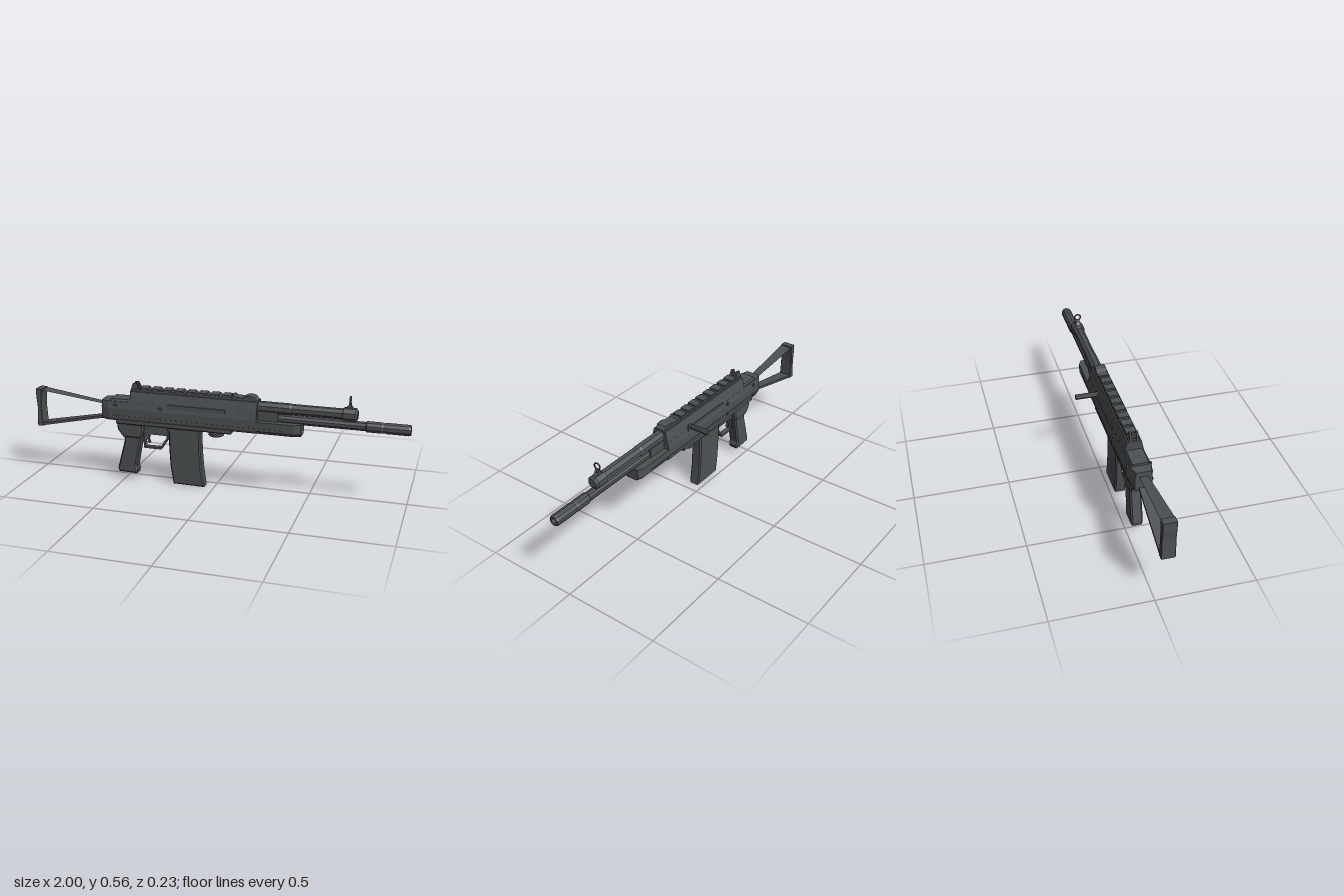
import * as THREE from 'three';

const gunmetal = new THREE.MeshStandardMaterial({ color: 0x4c5153, flatShading: true, side: THREE.DoubleSide });
gunmetal.name = 'gunmetal';

export function createModel() {
  const model = new THREE.Group();
  model.name = 'rifle';
  const body = new THREE.Group();
  body.name = 'body';
  body.position.z = 0.053;
  model.add(body);

  const add = (name, geo, x = 0, y = 0, z = 0) => {
    const m = new THREE.Mesh(geo, gunmetal);
    m.name = name;
    m.position.set(x, y, z);
    body.add(m);
    return m;
  };
  const box = (name, x0, x1, y0, y1, half, z = 0) =>
    add(name, new THREE.BoxGeometry(x1 - x0, y1 - y0, half * 2), (x0 + x1) / 2, (y0 + y1) / 2, z);

  // Symmetric cross-section [halfWidth, y], bottom to top, run along x; taper scales the width at each end
  const prism = (name, half, x0, x1, taper0 = 1, taper1 = 1) => {
    const pts = [...half, ...half.map(([w, y]) => [-w, y]).reverse()].map(p => new THREE.Vector2(...p));
    const g = new THREE.ExtrudeGeometry(new THREE.Shape(pts), { depth: x1 - x0, bevelEnabled: false });
    g.rotateY(Math.PI / 2);
    const p = g.attributes.position;
    for (let i = 0; i < p.count; i++) p.setZ(i, p.getZ(i) * (p.getX(i) < 1e-4 ? taper0 : taper1));
    return add(name, g, x0);
  };

  // Side outline [x, y] extruded across the width with bevelled edges
  const side = (name, pts, half, bevel = 0, holes = []) => {
    const s = new THREE.Shape(pts.map(p => new THREE.Vector2(...p)));
    for (const h of holes) s.holes.push(new THREE.Path(h.map(p => new THREE.Vector2(...p))));
    const g = new THREE.ExtrudeGeometry(s, {
      depth: 2 * (half - bevel), bevelEnabled: bevel > 0, bevelSize: bevel, bevelThickness: bevel,
      bevelOffset: -bevel, bevelSegments: 1,
    });
    g.translate(0, 0, -half + bevel);
    return add(name, g);
  };

  // Turned part along x from [radius, x] points
  const turned = (name, pts, y, sides) => {
    const g = new THREE.LatheGeometry(pts.map(p => new THREE.Vector2(...p)), sides, Math.PI / sides);
    return add(name, g.rotateZ(-Math.PI / 2), 0, y);
  };

  // Unit box or sheet stretched between two side points with its own half width at each end
  const strut = (name, g, a, b, w0, w1, t) => {
    const p = g.attributes.position;
    for (let i = 0; i < p.count; i++) {
      const k = p.getX(i) + 0.5;
      p.setXYZ(i, a[0] + (b[0] - a[0]) * k, a[1] + (b[1] - a[1]) * k + p.getY(i) * t,
        p.getZ(i) * 2 * (w0 + (w1 - w0) * k));
    }
    g.computeVertexNormals();
    return add(name, g);
  };

  // Receiver, its top cover and lower frame
  const receiver = [[0.05, 0.337], [0.057, 0.35], [0.057, 0.405], [0.05, 0.44]];
  prism('receiverRear', receiver, -0.612, -0.57, 0.75, 1);
  prism('receiver', receiver, -0.57, 0.235);
  prism('rearCover', [[0.046, 0.438], [0.04, 0.452]], -0.56, -0.45);
  prism('topCover', [[0.05, 0.438], [0.036, 0.498]], -0.45, 0.235);
  prism('lowerFrame', [[0.046, 0.317], [0.051, 0.322], [0.051, 0.34]], -0.53, 0.1);
  for (const s of [-1, 1]) {
    box('sidePlate', -0.24, 0.07, 0.425, 0.447, 0.003, s * 0.053);
    box('sideRib', -0.58, 0.37, 0.357, 0.365, 0.003, s * 0.056);
    for (const x of [-0.53, -0.28]) for (const y of [0.36, 0.42]) {
      const pin = add('pin', new THREE.CylinderGeometry(0.009, 0.009, 0.012, 8), x, y, s * 0.056);
      pin.rotation.x = Math.PI / 2;
    }
  }

  // Handguard tray under the barrel
  const tray = [[0.042, 0.335], [0.057, 0.352], [0.057, 0.4]];
  prism('handguard', tray, 0.235, 0.43);
  prism('handguardTip', tray, 0.43, 0.462, 1, 0.72);
  box('handguardCore', 0.235, 0.34, 0.39, 0.45, 0.026);

  // Barrel with hollow muzzle, and gas tube above
  turned('barrel', [[0.024, 0.2], [0.024, 0.78], [0.029, 0.785], [0.029, 0.86], [0.026, 0.865],
    [0.026, 0.875], [0.029, 0.88], [0.029, 0.99], [0.025, 1], [0.016, 1], [0.014, 0.95], [0, 0.95]], 0.412, 10);
  turned('gasTube', [[0.03, 0.2], [0.03, 0.4], [0.028, 0.405], [0.028, 0.66], [0.035, 0.67],
    [0.035, 0.728], [0.024, 0.738], [0, 0.738]], 0.466, 8);

  // Top rail with teeth
  box('rail', -0.44, 0.21, 0.495, 0.509, 0.029);
  for (let i = 0; i < 8; i++) box('railTooth', -0.4 + i * 0.064, -0.356 + i * 0.064, 0.505, 0.518, 0.027);

  // Sights
  side('railStop', [[0.1, 0.5], [0.23, 0.5], [0.217, 0.518], [0.2, 0.523], [0.175, 0.521], [0.155, 0.512],
    [0.12, 0.512], [0.11, 0.52], [0.1, 0.52]], 0.028);
  for (const s of [-1, 1]) {
    side('rearSightEar', [[-0.455, 0.495], [-0.395, 0.495], [-0.41, 0.52], [-0.42, 0.541], [-0.44, 0.538]], 0.005)
      .position.z = s * 0.017;
  }
  box('rearSightBlade', -0.435, -0.42, 0.505, 0.528, 0.014);
  side('frontSightPost', [[0.67, 0.492], [0.722, 0.492], [0.705, 0.51], [0.701, 0.528], [0.693, 0.528], [0.688, 0.51]], 0.011);
  const ring = add('frontSightRing', new THREE.TorusGeometry(0.017, 0.004, 6, 16), 0.697, 0.541);
  ring.rotation.y = Math.PI / 2;

  // Charging handle on the far side
  box('chargingHandleStem', 0.038, 0.062, 0.443, 0.456, 0.02, -0.05);
  const handle = add('chargingHandle', new THREE.CylinderGeometry(0.014, 0.014, 0.108, 8), 0.05, 0.449, -0.114);
  handle.rotation.x = Math.PI / 2;

  // Magazine, slightly curved
  side('magazine', [[-0.245, 0.33], [-0.243, 0.2], [-0.237, 0.1], [-0.222, 0.002], [-0.051, 0],
    [-0.065, 0.1], [-0.072, 0.2], [-0.073, 0.33]], 0.03, 0.007);
  box('magazineWell', -0.25, -0.068, 0.3, 0.325, 0.036);

  // Pistol grip
  side('gripMount', [[-0.535, 0.325], [-0.53, 0.28], [-0.5, 0.24], [-0.4, 0.24], [-0.385, 0.28], [-0.385, 0.325]], 0.037, 0.008);
  side('grip', [[-0.5, 0.27], [-0.495, 0.22], [-0.538, 0.058], [-0.533, 0.038], [-0.43, 0.035],
    [-0.425, 0.06], [-0.432, 0.075], [-0.395, 0.27]], 0.03, 0.008);

  // Trigger and its guard
  side('triggerGuard', [[-0.4, 0.325], [-0.388, 0.183], [-0.293, 0.183], [-0.253, 0.243], [-0.253, 0.325]], 0.014, 0,
    [[[-0.388, 0.262], [-0.379, 0.193], [-0.298, 0.193], [-0.262, 0.246], [-0.262, 0.262]]]);
  side('trigger', [[-0.378, 0.27], [-0.355, 0.27], [-0.362, 0.235], [-0.355, 0.212], [-0.364, 0.21], [-0.374, 0.235]], 0.007);

  // Ring under the front of the frame
  const collar = [[0.024, 0.022], [0.024, 0], [0.036, 0], [0.042, 0.005], [0.042, 0.018], [0.036, 0.022], [0.024, 0.022]];
  add('underRing', new THREE.LatheGeometry(collar.map(p => new THREE.Vector2(...p)), 12), 0.01, 0.289);
  box('ringMount', -0.025, 0.045, 0.308, 0.32, 0.026);

  // Skeleton stock: butt plate, solid lower strut and sheet upper strut
  side('buttPlate', [[-1, 0.465], [-1, 0.42], [-0.995, 0.36], [-1, 0.29], [-1, 0.254], [-0.966, 0.257],
    [-0.97, 0.3], [-0.973, 0.36], [-0.969, 0.42], [-0.963, 0.465]], 0.035, 0.003);
  strut('lowerStockStrut', new THREE.BoxGeometry(1, 1, 1), [-0.985, 0.264], [-0.6, 0.343], 0.034, 0.021, 0.014);
  strut('upperStockStrut', new THREE.PlaneGeometry(1, 1).rotateX(-Math.PI / 2), [-0.985, 0.462], [-0.6, 0.412], 0.034, 0.021, 0);

  return model;
}
